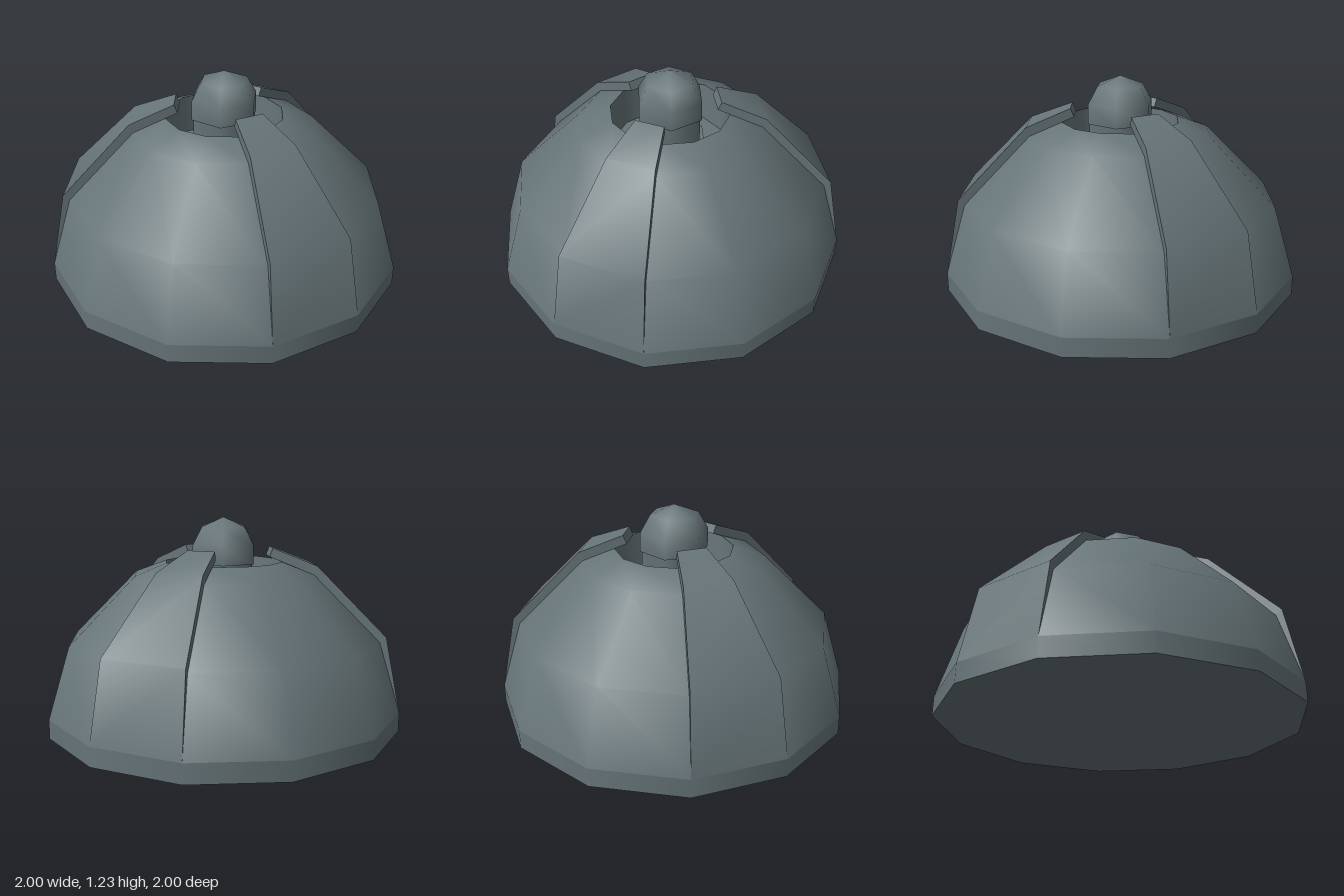
import * as THREE from 'three';
import { toCreasedNormals } from 'three/addons/utils/BufferGeometryUtils.js';

const deg = Math.PI / 180;
const K = 1 / Math.cos(15 * deg); // flat-to-corner ratio of a twelve-sided ring

// Rib stations from rim to crown: [radius, height, half width]
const RIB_TOP = [[1, 0.11, 0.268], [0.915, 0.55, 0.245], [0.53, 0.95, 0.14], [0.28, 1.05, 0.085]];
const RIB_BOTTOM = [[1, 0.11, 0.268], [0.88, 0.52, 0.236], [0.51, 0.9, 0.137], [0.26, 1.0, 0.08]];

function ribGeometry() {
  const pos = [];
  const quad = (a, b, c, d) => pos.push(...a, ...b, ...c, ...a, ...c, ...d);
  const sections = RIB_TOP.map(([r, y, w], i) => {
    const [br, by, bw] = RIB_BOTTOM[i];
    return [[-w, y, r], [w, y, r], [bw, by, br], [-bw, by, br]];
  });
  for (let i = 0; i < sections.length - 1; i++) {
    const s = sections[i], t = sections[i + 1];
    for (let k = 0; k < 4; k++) quad(s[k], s[(k + 1) % 4], t[(k + 1) % 4], t[k]);
  }
  quad(...sections[sections.length - 1]); // inner end
  const geo = new THREE.BufferGeometry();
  geo.setAttribute('position', new THREE.Float32BufferAttribute(pos, 3));
  return toCreasedNormals(geo, 40 * deg);
}

export function createModel() {
  const group = new THREE.Group();
  const metal = new THREE.MeshStandardMaterial({ color: 0x667478 });
  metal.name = 'slate grey';

  function add(name, geometry) {
    const mesh = new THREE.Mesh(geometry, metal);
    mesh.name = name;
    group.add(mesh);
    return mesh;
  }
  const lathe = (name, points, sides, start, scale = 1) =>
    add(name, new THREE.LatheGeometry(
      points.map(([r, y]) => new THREE.Vector2(r * scale, y)), sides, start * deg));
  const ring = (name, points) => lathe(name, points, 12, 15, K);
  const hex = (name, points) => lathe(name, points, 6, 85);

  // Twelve-sided shell with a sunken crown
  ring('underside', [[0, 0], [1, 0]]);
  ring('baseBand', [[1, 0], [1, 0.11]]);
  ring('dome', [[1, 0.11], [0.88, 0.52], [0.51, 0.9], [0.33, 0.97]]);
  ring('recessWall', [[0.33, 0.97], [0.317, 0.75]]);
  ring('recessFloor', [[0.317, 0.75], [0, 0.75]]);

  // Six-sided knob standing in the recess
  hex('collarSide', [[0.225, 0.75], [0.225, 0.78]]);
  hex('collarTop', [[0.225, 0.78], [0.18, 0.78]]);
  hex('neck', [[0.19, 0.78], [0.19, 0.96]]);
  hex('knobUnderside', [[0.18, 0.96], [0.2, 0.96]]);
  hex('knob', [[0.2, 0.96], [0.2, 1.07], [0.142, 1.17], [0, 1.225]]);

  // Three raised ribs
  const rib = ribGeometry();
  for (const angle of [60, 180, 300]) add('rib', rib).rotation.y = angle * deg;

  return group;
}
